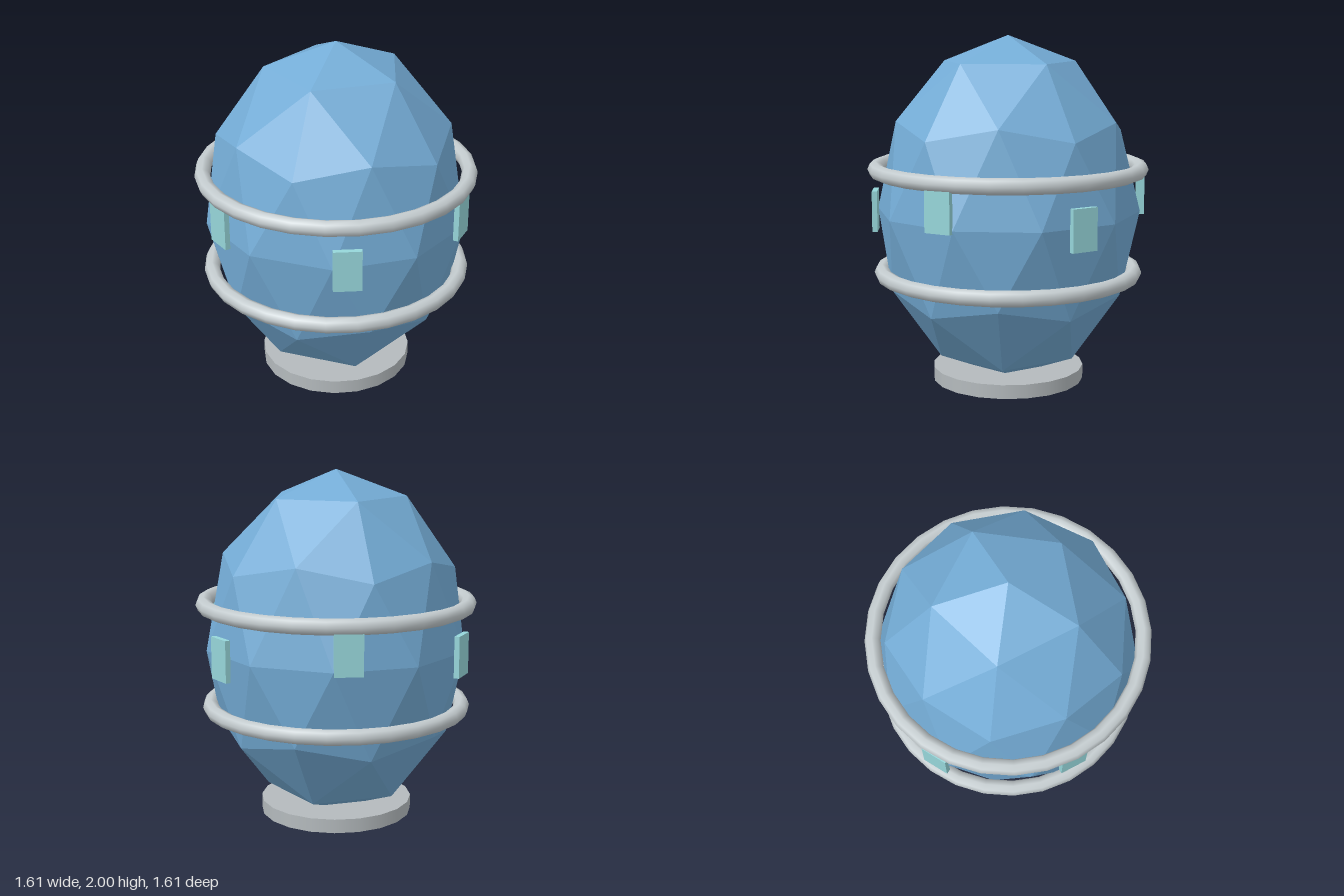
import * as THREE from 'three';

const material = (name, color) => {
  const m = new THREE.MeshStandardMaterial({ color });
  m.name = name;
  return m;
};

export function createModel() {
  const blue = material('shell blue', 0x74acd6);
  const silver = material('ring silver', 0xc4cccf);
  const grey = material('base grey', 0xb4babd);
  const aqua = material('panel aqua', 0x96d6da);

  const model = new THREE.Group();
  model.name = 'bandedEgg';
  const add = (name, geometry, mat) => {
    const mesh = new THREE.Mesh(geometry, mat);
    mesh.name = name;
    model.add(mesh);
    return mesh;
  };

  // Faceted shell: subdivided icosahedron stood on one of its corners
  const shell = new THREE.IcosahedronGeometry(1, 1);
  shell.rotateZ(-Math.atan(2 / (1 + Math.sqrt(5))));
  shell.scale(0.76, 1, 0.76);
  shell.translate(0, 1, 0);
  shell.computeVertexNormals(); // unshared corners give flat facets
  add('shell', shell, blue);

  // Round base
  add('base', new THREE.CylinderGeometry(0.44, 0.44, 0.08, 20), grey).position.y = 0.04;

  // Two hoops around the shell
  for (const [name, radius, y] of [['upperRing', 0.76, 1.245], ['lowerRing', 0.73, 0.645]]) {
    const ring = new THREE.TorusGeometry(radius, 0.045, 8, 28).rotateX(Math.PI / 2);
    add(name, ring, silver).position.y = y;
  }

  // Six panels facing outwards, alternately low and high
  const panel = new THREE.BoxGeometry(0.03, 0.235, 0.155);
  for (let i = 0; i < 6; i++) {
    const a = (i * Math.PI) / 3;
    const mesh = add('panel' + (i + 1), panel, aqua);
    mesh.position.set(0.765 * Math.cos(a), i % 2 ? 1.1 : 1, 0.765 * Math.sin(a));
    mesh.rotation.y = -a;
  }

  return model;
}
